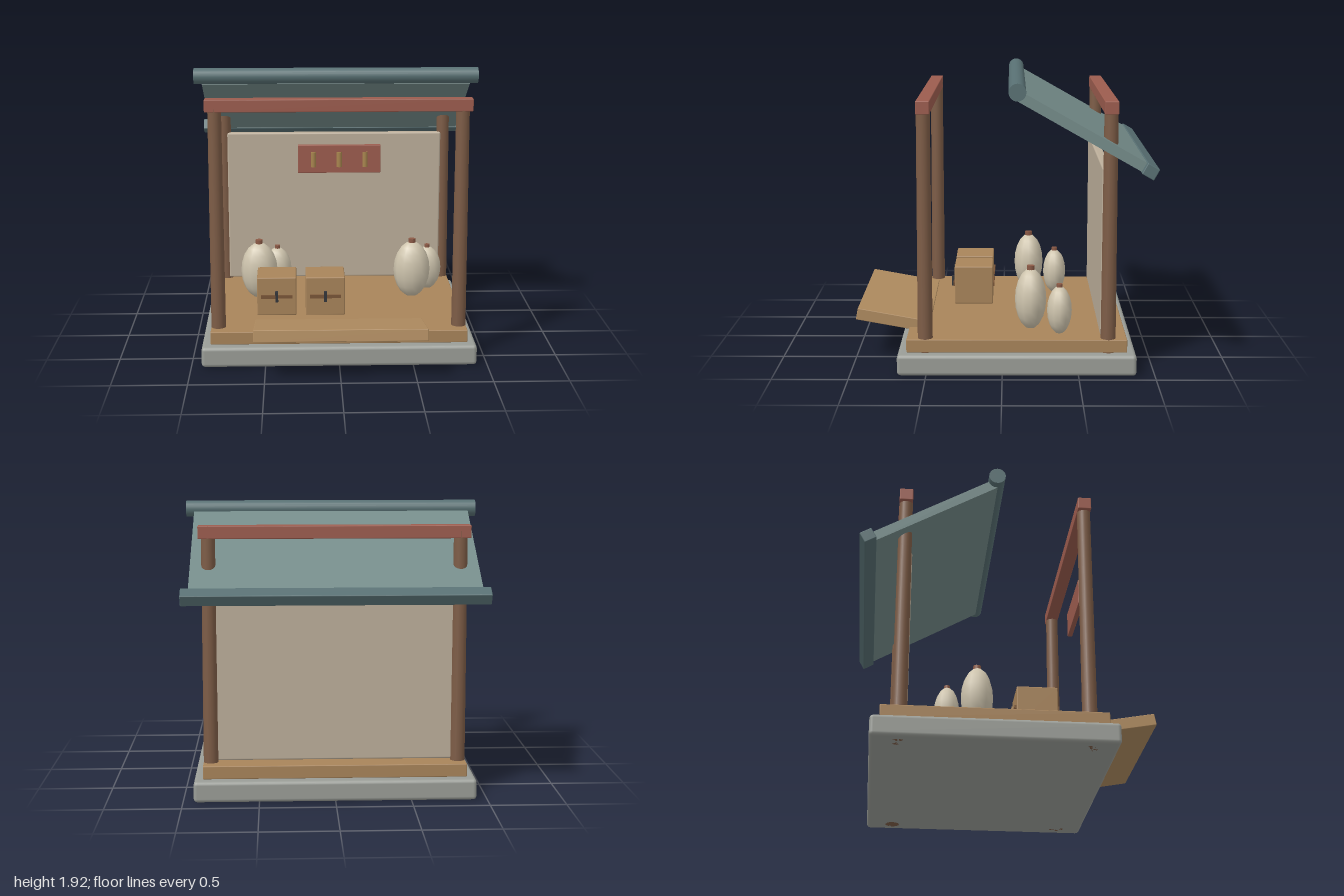
import * as THREE from 'three';
import { RoundedBoxGeometry } from 'three/addons/geometries/RoundedBoxGeometry.js';

const mat = (color) => new THREE.MeshStandardMaterial({ color });
const stone = mat(0x9a9d97), deckWood = mat(0xa8845a), boardWood = mat(0xb08c60);
const postWood = mat(0x7d5c46), redWood = mat(0x9c5c4e), slate = mat(0x758c8a);
const darkSlate = mat(0x587073), plaster = mat(0xbcae9a), clay = mat(0xcfc5ae);
const stopperWood = mat(0x8c5a46), iron = mat(0x33353a), brass = mat(0xa8854e);
const strapWood = mat(0x7a5638);

export function createModel() {
  const root = new THREE.Group();

  const add = (name, geometry, material, x, y, z, parent = root) => {
    const mesh = new THREE.Mesh(geometry, material);
    mesh.name = name;
    mesh.position.set(x, y, z);
    parent.add(mesh);
    return mesh;
  };
  const box = (w, h, d, bevel = 0) =>
    bevel ? new RoundedBoxGeometry(w, h, d, 2, bevel) : new THREE.BoxGeometry(w, h, d);

  // Plinth and floor
  add('stoneBase', box(1.86, 0.14, 1.57, 0.025), stone, 0, 0.07, -0.095);
  add('deck', box(1.74, 0.088, 1.45, 0.006), deckWood, 0, 0.187, -0.095);

  // Two frames of posts with a beam across
  for (const [side, z] of [['front', 0.507], ['back', -0.697]]) {
    for (const x of [-0.82, 0.82]) {
      add(side + 'Post', new THREE.CylinderGeometry(0.045, 0.05, 1.795, 16), postWood, x, 0.8975, z);
    }
    add(side + 'Beam', box(1.77, 0.085, 0.09, 0.006), redWood, 0, 1.757, z);
  }

  // Back wall
  add('backWall', box(1.6, 1.12, 0.06, 0.012), plaster, 0, 0.8, -0.675);

  // Sloping roof panel with ridge roll and eave
  const roof = new THREE.Group();
  roof.name = 'roof';
  roof.position.set(0, 1.603, -0.52);
  roof.rotation.x = -0.515;
  root.add(roof);
  add('roofPanel', box(1.88, 0.066, 0.95), slate, 0, 0, 0, roof);
  add('eaveBoard', box(1.98, 0.08, 0.088, 0.006), darkSlate, 0, 0, -0.482, roof);
  const ridge = add('ridgeRoll', new THREE.CylinderGeometry(0.056, 0.056, 1.99, 20), darkSlate, 0, 1.866, -0.096);
  ridge.rotation.z = Math.PI / 2;

  // Tilted counter board at the front
  const counter = add('counterBoard', box(1.14, 0.08, 0.5, 0.005), boardWood, 0, 0.277, 0.74);
  counter.rotation.x = -0.18;

  // Hanging sign with three vertical pegs
  add('signBoard', box(0.545, 0.185, 0.034, 0.004), redWood, 0, 1.407, 0.563);
  for (const x of [-0.17, 0, 0.17]) {
    add('signPeg', new THREE.CylinderGeometry(0.018, 0.018, 0.1, 10), brass, x, 1.405, 0.578);
  }

  // Strapped crates
  for (const x of [-0.425, -0.088]) {
    const crate = new THREE.Group();
    crate.name = 'crate';
    crate.position.set(x, 0.39, 0.208);
    root.add(crate);
    add('crateBody', box(0.272, 0.272, 0.272, 0.008), deckWood, 0, 0, 0, crate);
    add('crateStrap', box(0.215, 0.024, 0.294), strapWood, 0, 0, 0, crate);
    add('crateLatch', box(0.02, 0.075, 0.024), iron, 0, 0.002, 0.15, crate);
  }

  // Oval jars with stoppers, a large and a small one on each side
  const jar = (x, z, s) => {
    const group = new THREE.Group();
    group.name = 'jar';
    group.position.set(x, 0.23, z);
    group.scale.setScalar(s);
    root.add(group);
    const body = add('jarBody', new THREE.SphereGeometry(1, 12, 10), clay, 0, 0.198, 0, group);
    body.scale.set(0.132, 0.208, 0.106);
    add('jarStopper', new THREE.CylinderGeometry(0.026, 0.026, 0.045, 10), stopperWood, 0, 0.405, 0, group);
  };
  for (const x of [-0.558, 0.555]) {
    jar(x, -0.19, 1);
    jar(x + 0.13, -0.38, 0.78);
  }

  return root;
}
